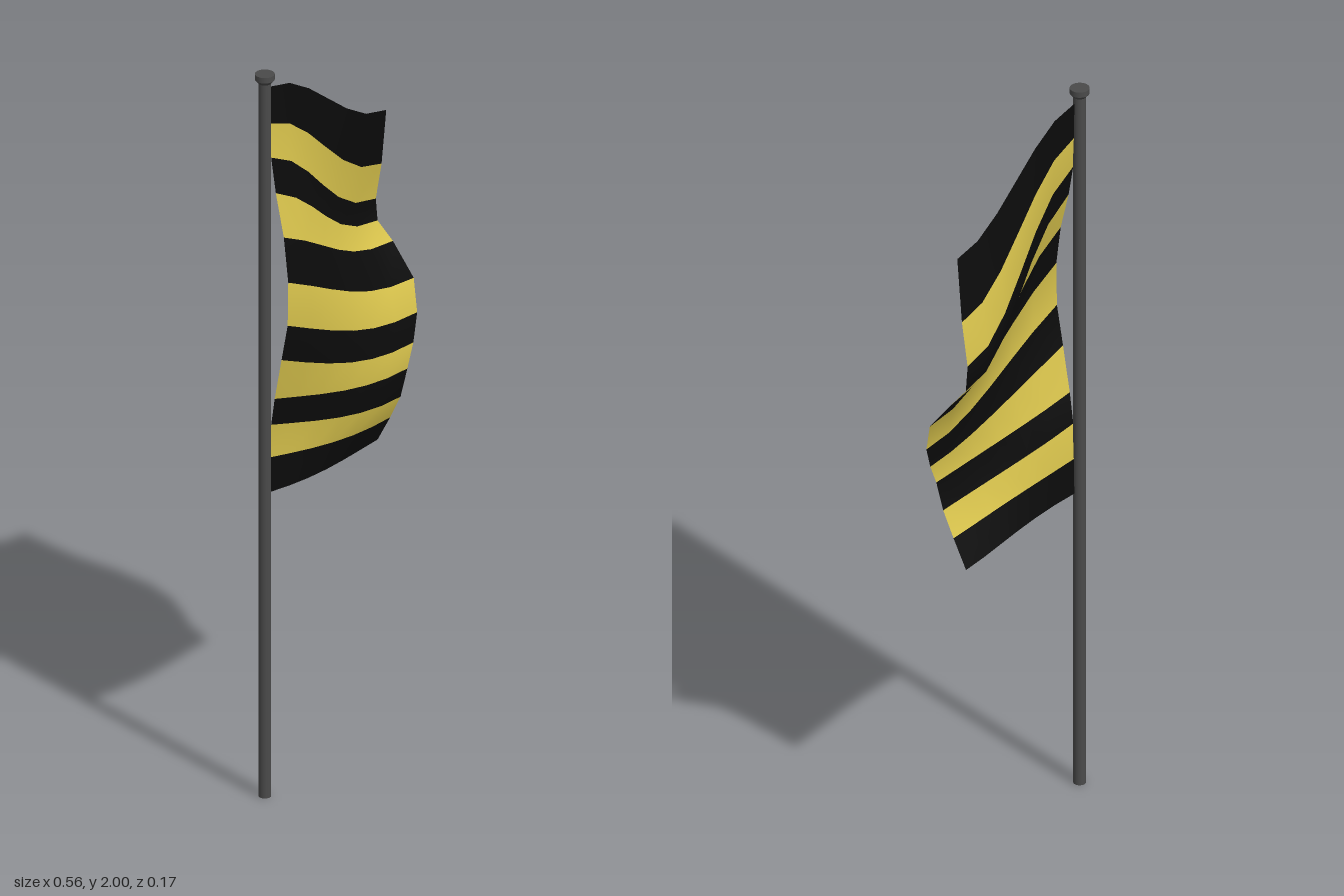
import * as THREE from 'three';

// Stripe boundaries from top to bottom: [x, y, z] on the hoist and fly edges
const HOIST = [
  [-0.243, 1.96, 0], [-0.245, 1.86, 0.003], [-0.25, 1.77, 0.012], [-0.255, 1.68, 0.032],
  [-0.262, 1.57, 0.065], [-0.27, 1.455, 0.087], [-0.27, 1.335, 0.085], [-0.265, 1.23, 0.06],
  [-0.257, 1.11, 0.03], [-0.25, 1.03, 0.012], [-0.246, 0.935, 0.003], [-0.245, 0.837, 0],
];
const FLY = [
  [0.222, 1.72, -0.025], [0.238, 1.556, -0.055], [0.25, 1.445, -0.085], [0.26, 1.38, -0.088],
  [0.275, 1.33, -0.05], [0.28, 1.247, 0.015], [0.265, 1.165, 0.04], [0.235, 1.097, 0.054],
  [0.206, 1.037, 0.06], [0.196, 0.958, 0.046], [0.195, 0.89, 0.012], [0.195, 0.815, -0.03],
];
const COLS = 6;
const ROWS = HOIST.length - 1;

// Waving cloth: each row eases from the hoist edge to the fly edge
function clothGeometry() {
  const geo = new THREE.PlaneGeometry(1, 1, COLS, ROWS);
  const pos = geo.attributes.position;
  const { lerp, smoothstep } = THREE.MathUtils;
  for (let r = 0; r <= ROWS; r++) {
    const a = HOIST[r], b = FLY[r], v = r / ROWS;
    for (let c = 0; c <= COLS; c++) {
      const u = c / COLS;
      const s = smoothstep(u, 0, 1);
      const drop = lerp(s, Math.sin(u * Math.PI / 2), Math.min(1, v * 1.6));
      const belly = 0.012 * Math.sin(Math.PI * u) * smoothstep(v, 0.45, 0.65);
      pos.setXYZ(r * (COLS + 1) + c,
        lerp(a[0], b[0], u), lerp(a[1], b[1], drop), lerp(a[2], b[2], s) + belly);
    }
  }
  geo.computeVertexNormals();
  return geo;
}

// Picks every second row of the cloth, so both colours share smooth normals
function stripes(cloth, first, color, name) {
  const geo = cloth.clone();
  const all = Array.from(cloth.index.array);
  const perRow = COLS * 6;
  const picked = [];
  for (let r = first; r < ROWS; r += 2) picked.push(...all.slice(r * perRow, (r + 1) * perRow));
  geo.setIndex(picked);
  const mesh = new THREE.Mesh(geo, new THREE.MeshStandardMaterial({ color, side: THREE.DoubleSide }));
  mesh.name = name;
  return mesh;
}

export function createModel() {
  const model = new THREE.Group();
  model.name = 'flagOnPole';

  // Pole and its cap
  const metal = new THREE.MeshStandardMaterial({ color: 0x4a4a4a });
  const pole = new THREE.Mesh(new THREE.CylinderGeometry(0.016, 0.016, 1.985, 24), metal);
  pole.name = 'pole';
  pole.position.set(-0.257, 0.9925, -0.003);

  const profile = [[0, 1.975], [0.016, 1.975], [0.025, 1.985], [0.025, 1.985], [0.025, 2], [0.025, 2], [0, 2]]
    .map(([x, y]) => new THREE.Vector2(x, y));
  const cap = new THREE.Mesh(new THREE.LatheGeometry(profile, 24), metal);
  cap.name = 'poleCap';
  cap.position.set(-0.257, 0, -0.003);

  // Striped flag
  const cloth = clothGeometry();
  const flag = new THREE.Group();
  flag.name = 'flag';
  flag.add(
    stripes(cloth, 0, 0x0b0b0b, 'blackStripes'),
    stripes(cloth, 1, 0xd8c34c, 'yellowStripes'),
  );

  model.add(pole, cap, flag);
  return model;
}
